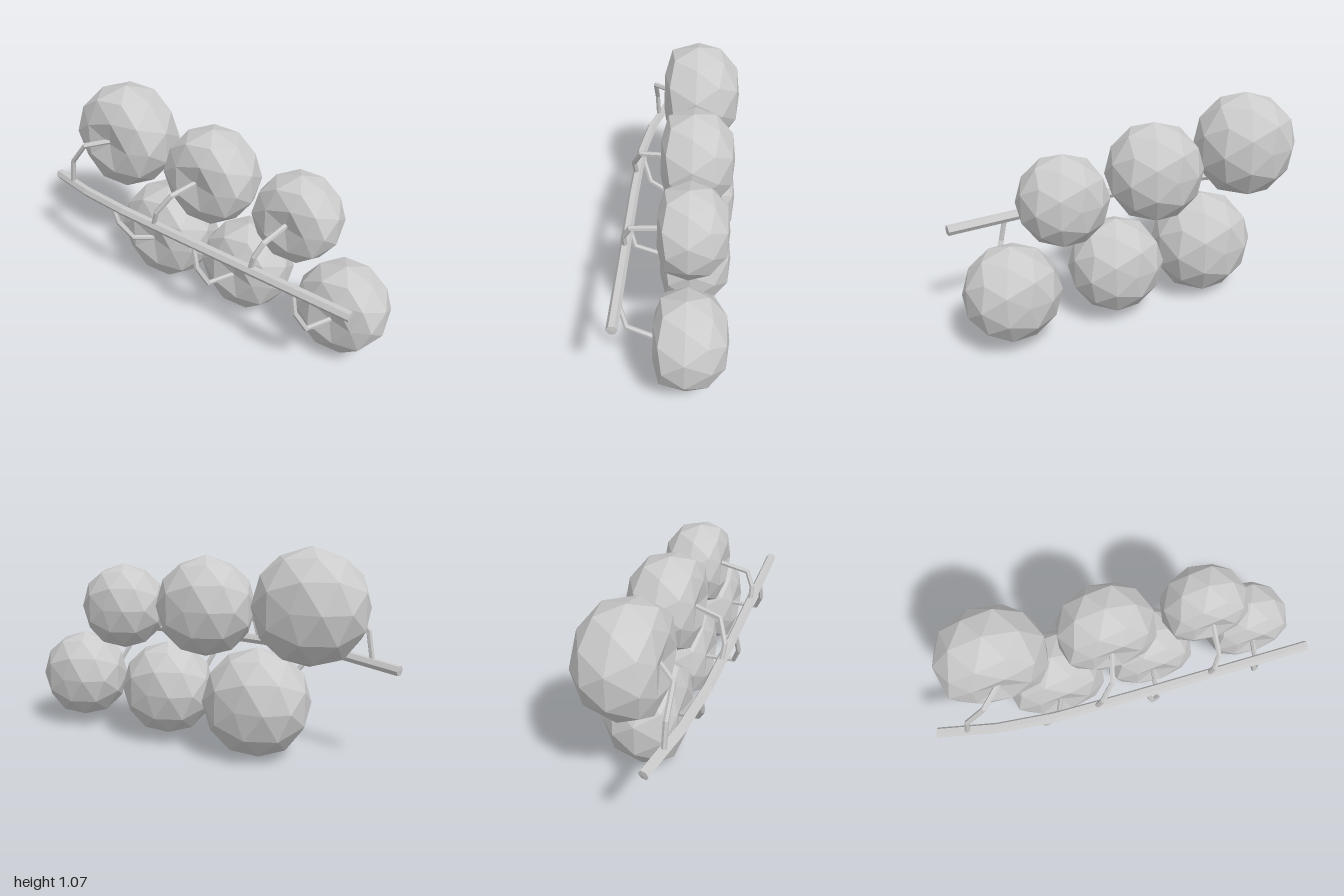
import * as THREE from 'three';

const material = new THREE.MeshStandardMaterial({ color: 0xcccccc, flatShading: true });

// Six-sided tube with one ring per path point, closed to a flat cap at each end
function branch(name, radius, coords) {
  const pts = coords.map((c) => new THREE.Vector3(...c));
  const n = pts.length;
  const tip = (end, next) => end.clone().add(end.clone().sub(next).setLength(0.002));
  pts.unshift(tip(pts[0], pts[1]));
  pts.push(tip(pts[n], pts[n - 1]));

  const curve = new THREE.CatmullRomCurve3(pts);
  curve.getPointAt = (t, target) => curve.getPoint(t, target);
  curve.getTangentAt = (t, target) => curve.getTangent(t, target);
  // Turn the hexagon so a flat side faces up
  const frenet = curve.computeFrenetFrames.bind(curve);
  curve.computeFrenetFrames = (segments, closed) => {
    const f = frenet(segments, closed);
    for (const list of [f.normals, f.binormals]) {
      list.forEach((v, i) => v.applyAxisAngle(f.tangents[i], Math.PI / 6));
    }
    return f;
  };

  const sides = 6;
  const geo = new THREE.TubeGeometry(curve, pts.length - 1, radius, sides, false);
  const pos = geo.attributes.position;
  const last = pts.length - 1;
  for (let j = 0; j <= sides; j++) {
    pos.setXYZ(j, ...pts[0].toArray());
    pos.setXYZ(last * (sides + 1) + j, ...pts[last].toArray());
  }
  geo.computeVertexNormals();
  const mesh = new THREE.Mesh(geo, material);
  mesh.name = name;
  return mesh;
}

// Faceted ball with a pole on z: dimpled front, gently flattened back
function fruitGeometry() {
  const geo = new THREE.IcosahedronGeometry(1, 1);
  geo.rotateX(Math.atan2(1, (1 + Math.sqrt(5)) / 2));
  geo.rotateZ(Math.PI / 10);
  const pos = geo.attributes.position;
  for (let i = 0; i < pos.count; i++) {
    const z = pos.getZ(i);
    const depth = Math.abs(z);
    let out = z * 0.95;
    if (depth > 0.95) out = z > 0 ? 0.52 : -0.815;
    else if (depth > 0.7) out = z > 0 ? 0.62 : -0.76;
    pos.setZ(i, out);
  }
  geo.computeVertexNormals();
  return geo;
}

export function createModel() {
  const model = new THREE.Group();
  model.name = 'fruitVine';

  // Main vine
  model.add(branch('vine', 0.027, [
    [-1, 0.487, 0.145], [-0.7, 0.512, 0.215], [-0.4, 0.53, 0.25],
    [0, 0.535, 0.257], [0.5, 0.535, 0.257], [0.96, 0.535, 0.257],
  ]));

  // Fruits: centre x, centre y, radius, and the stem path from the vine
  const fruits = [
    { name: 'upperRight', x: -0.625, y: 0.788, r: 0.288,
      stem: [[-0.85, 0.51, 0.185], [-0.825, 0.655, 0.188], [-0.72, 0.787, 0.188], [-0.615, 0.805, 0.08]] },
    { name: 'upperMiddle', x: -0.043, y: 0.743, r: 0.26,
      stem: [[-0.185, 0.54, 0.257], [-0.155, 0.63, 0.265], [-0.09, 0.732, 0.22], [-0.05, 0.752, 0.07]] },
    { name: 'upperLeft', x: 0.48, y: 0.7, r: 0.231,
      stem: [[0.42, 0.54, 0.257], [0.44, 0.62, 0.258], [0.467, 0.692, 0.222], [0.487, 0.715, 0.06]] },
    { name: 'lowerRight', x: -0.343, y: 0.283, r: 0.279,
      stem: [[-0.49, 0.53, 0.245], [-0.455, 0.43, 0.242], [-0.39, 0.335, 0.202], [-0.34, 0.282, 0.07]] },
    { name: 'lowerMiddle', x: 0.193, y: 0.284, r: 0.25,
      stem: [[0.08, 0.53, 0.262], [0.112, 0.41, 0.275], [0.155, 0.312, 0.24], [0.19, 0.275, 0.06]] },
    { name: 'lowerLeft', x: 0.768, y: 0.286, r: 0.243,
      stem: [[0.66, 0.53, 0.257], [0.685, 0.41, 0.264], [0.73, 0.315, 0.228], [0.775, 0.283, 0.06]] },
  ];
  const shape = fruitGeometry();
  for (const { name, x, y, r, stem } of fruits) {
    const fruit = new THREE.Mesh(shape, material);
    fruit.name = name + 'Fruit';
    fruit.position.set(x, y, -0.055);
    fruit.scale.setScalar(r);
    model.add(fruit, branch(name + 'Stem', 0.014, stem));
  }
  return model;
}
